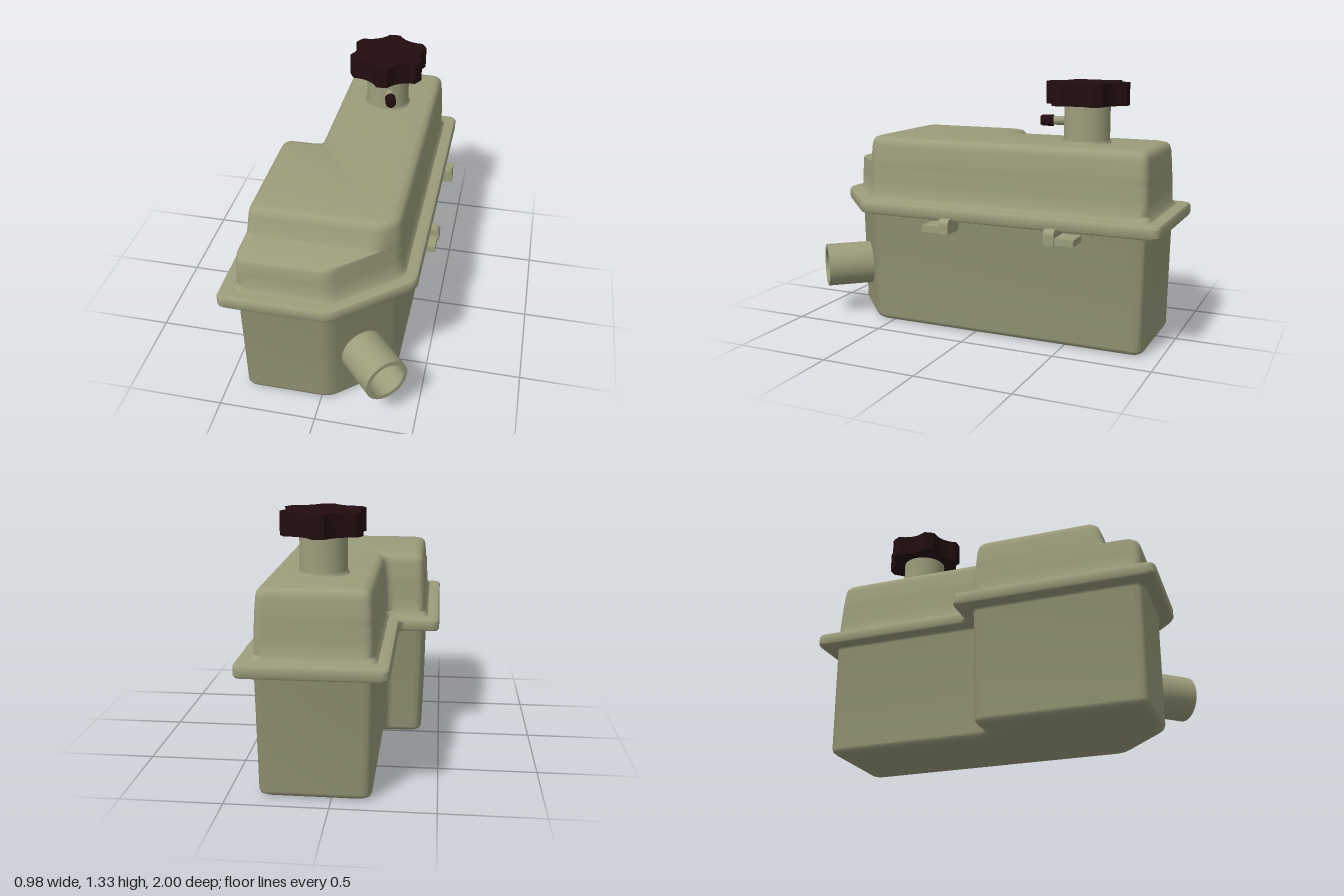
import * as THREE from 'three';
import { toCreasedNormals } from 'three/addons/utils/BufferGeometryUtils.js';

const olive = new THREE.MeshStandardMaterial({ color: 0x9b9d7b });
const dark = new THREE.MeshStandardMaterial({ color: 0x220d0f });

// Footprint of the tank as [x, z] corners; the front wall may move back along the chamfer
const footprint = (front = 0.865) => [
  [-0.2, -0.92], [0.36, -0.92], [0.36, 0.59], [0.05 + (0.865 - front) * 1.127, front],
  [-0.41, front], [-0.41, -0.02], [-0.2, -0.02],
].map(([x, z]) => new THREE.Vector2(x, z));

const flangeOutline = [
  [-0.275, -1], [0.44, -1], [0.44, 0.62], [0.075, 0.94], [-0.49, 0.94], [-0.49, -0.1], [-0.275, -0.1],
].map(([x, z]) => new THREE.Vector2(x, z));

// Moves every side of a polygon inward by d
function inset(poly, d) {
  const n = poly.length;
  const inward = poly.map((p, i) => {
    const e = poly[(i + 1) % n].clone().sub(p).normalize();
    return new THREE.Vector2(-e.y, e.x);
  });
  return poly.map((p, i) => {
    const a = inward[(i + n - 1) % n], b = inward[i];
    return p.clone().addScaledVector(a.clone().add(b), d / (1 + a.dot(b)));
  });
}

// Rounds every corner with the same number of points
function rounded(poly, cut, steps = 6) {
  const n = poly.length, out = [];
  poly.forEach((p, i) => {
    const toward = (q) => {
      const v = q.clone().sub(p), len = v.length();
      return p.clone().addScaledVector(v, Math.min(cut, len * 0.45) / len);
    };
    const curve = new THREE.QuadraticBezierCurve(
      toward(poly[(i + n - 1) % n]), p, toward(poly[(i + 1) % n]));
    out.push(...curve.getPoints(steps));
  });
  return out;
}

// Closed solid through stacked rings of { y, pts }
function loft(rings) {
  const n = rings[0].pts.length, pos = [], idx = [];
  rings.forEach(({ y, pts }) => pts.forEach((p) => pos.push(p.x, y, p.y)));
  for (let r = 0; r < rings.length - 1; r++) {
    for (let j = 0; j < n; j++) {
      const a = r * n + j, b = r * n + (j + 1) % n;
      idx.push(a, a + n, b, b, a + n, b + n);
    }
  }
  const cap = (r, up) => {
    const pts = rings[r].pts;
    THREE.ShapeUtils.triangulateShape(pts, []).forEach(([a, b, c]) => {
      const facesUp = pts[b].clone().sub(pts[a]).cross(pts[c].clone().sub(pts[a])) < 0;
      if (facesUp !== up) [b, c] = [c, b];
      idx.push(r * n + a, r * n + b, r * n + c);
    });
  };
  cap(0, false);
  cap(rings.length - 1, true);
  const geo = new THREE.BufferGeometry();
  geo.setAttribute('position', new THREE.Float32BufferAttribute(pos, 3));
  geo.setIndex(idx);
  return toCreasedNormals(geo, 0.65);
}

export function createModel() {
  const model = new THREE.Group();
  model.name = 'reservoirTank';
  const add = (name, geo, mat = olive, parent = model) => {
    const mesh = new THREE.Mesh(geo, mat);
    mesh.name = name;
    parent.add(mesh);
    return mesh;
  };
  // Rings from rows of [height, inset, front wall]
  const tankRings = (rows) => rows.map(([y, d, front]) =>
    ({ y, pts: rounded(inset(footprint(front), d), 0.05) }));

  // Lower tank with rounded bottom edge
  add('lowerTank', loft(tankRings([
    [0, 0.045], [0.004, 0.028], [0.014, 0.015], [0.03, 0.009], [0.6, 0], [0.612, -0.006], [0.62, -0.02],
  ])));

  // Upper tank: the front wall steps back at a low ledge
  add('upperTank', loft(tankRings([
    [0.67, -0.022], [0.687, -0.012], [0.705, 0], [0.78, 0.002], [0.845, 0.005, 0.865],
    [0.86, 0.006, 0.858], [0.868, 0.006, 0.845], [0.87, 0.006, 0.71], [0.874, 0.006, 0.695],
    [0.89, 0.007, 0.685], [0.97, 0.013, 0.675], [0.992, 0.018, 0.672], [1.008, 0.03, 0.67],
    [1.016, 0.055, 0.67],
  ])));

  // Seam flange
  add('flange', loft([
    [0.612, 0.018], [0.616, 0.006], [0.626, 0], [0.666, 0], [0.677, 0.006], [0.681, 0.018],
  ].map(([y, d]) => ({ y, pts: rounded(inset(flangeOutline, d), 0.045) }))));

  // Filler neck with a small fillet at the foot
  const filler = new THREE.Group();
  filler.name = 'filler';
  filler.position.set(0.077, 0, -0.52);
  model.add(filler);
  const neckProfile = [[0.135, 1.008], [0.125, 1.02], [0.118, 1.035], [0.118, 1.22]]
    .map(([r, y]) => new THREE.Vector2(r, y));
  add('fillerNeck', new THREE.LatheGeometry(neckProfile, 48), olive, filler);

  // Six-lobed cap
  const capShape = new THREE.Shape();
  const lobes = 6, R = 0.215, half = 0.14, step = (Math.PI * 2) / lobes;
  for (let i = 0; i < lobes; i++) {
    const a = Math.PI / 2 + i * step, next = a + step - half;
    if (i === 0) capShape.moveTo(R * Math.cos(a - half), R * Math.sin(a - half));
    capShape.absarc(0, 0, R, a - half, a + half, false);
    capShape.quadraticCurveTo(0.15 * Math.cos(a + step / 2), 0.15 * Math.sin(a + step / 2),
      R * Math.cos(next), R * Math.sin(next));
  }
  const capGeo = new THREE.ExtrudeGeometry(capShape, { depth: 0.115, bevelEnabled: false, curveSegments: 10 });
  capGeo.rotateX(-Math.PI / 2).translate(0, 1.21, 0);
  add('cap', toCreasedNormals(capGeo, 0.5), dark, filler);

  // Overflow nipple with dark plug
  const overflow = new THREE.Group();
  overflow.name = 'overflow';
  overflow.position.y = 1.125;
  overflow.rotation.y = 0.25;
  filler.add(overflow);
  add('overflowNipple', new THREE.CylinderGeometry(0.023, 0.023, 0.1, 24).rotateX(Math.PI / 2).translate(0, 0, 0.15),
    olive, overflow);
  const plugProfile = [[0, 0], [0.029, 0], [0.029, 0.055], [0.023, 0.067], [0, 0.068]]
    .map(([r, y]) => new THREE.Vector2(r, y));
  add('overflowPlug', toCreasedNormals(new THREE.LatheGeometry(plugProfile, 24), 0.5)
    .rotateX(Math.PI / 2).translate(0, 0, 0.172), dark, overflow);

  // Outlet pipe, square to the chamfered corner, open at its mouth
  const pipeProfile = [[0.118, -0.06], [0.118, 0.24], [0.095, 0.24], [0.095, 0.005], [0, 0.005]]
    .map(([r, y]) => new THREE.Vector2(r, y));
  const pipe = add('outletPipe', toCreasedNormals(new THREE.LatheGeometry(pipeProfile, 48), 0.5).rotateX(Math.PI / 2));
  pipe.position.set(0.194, 0.273, 0.737);
  pipe.rotation.y = Math.atan2(0.66, 0.75);

  // Two mirrored side clips: an upright block and a flat tongue
  const blockShape = new THREE.Shape();
  blockShape.moveTo(0.34, 0.555);
  blockShape.lineTo(0.485, 0.555);
  blockShape.lineTo(0.485, 0.6);
  blockShape.quadraticCurveTo(0.485, 0.63, 0.45, 0.63);
  blockShape.lineTo(0.34, 0.63);
  for (const [name, side] of [['frontClip', 1], ['rearClip', -1]]) {
    const clip = new THREE.Group();
    clip.name = name;
    clip.position.z = -0.18;
    model.add(clip);
    const block = new THREE.ExtrudeGeometry(blockShape, { depth: 0.055, bevelEnabled: false });
    block.translate(0, 0, side > 0 ? 0.26 : -0.315);
    add('clipBlock', block, olive, clip);
    add('clipTongue', new THREE.BoxGeometry(0.138, 0.034, 0.105), olive, clip)
      .position.set(0.409, 0.574, side * 0.362);
  }
  return model;
}
